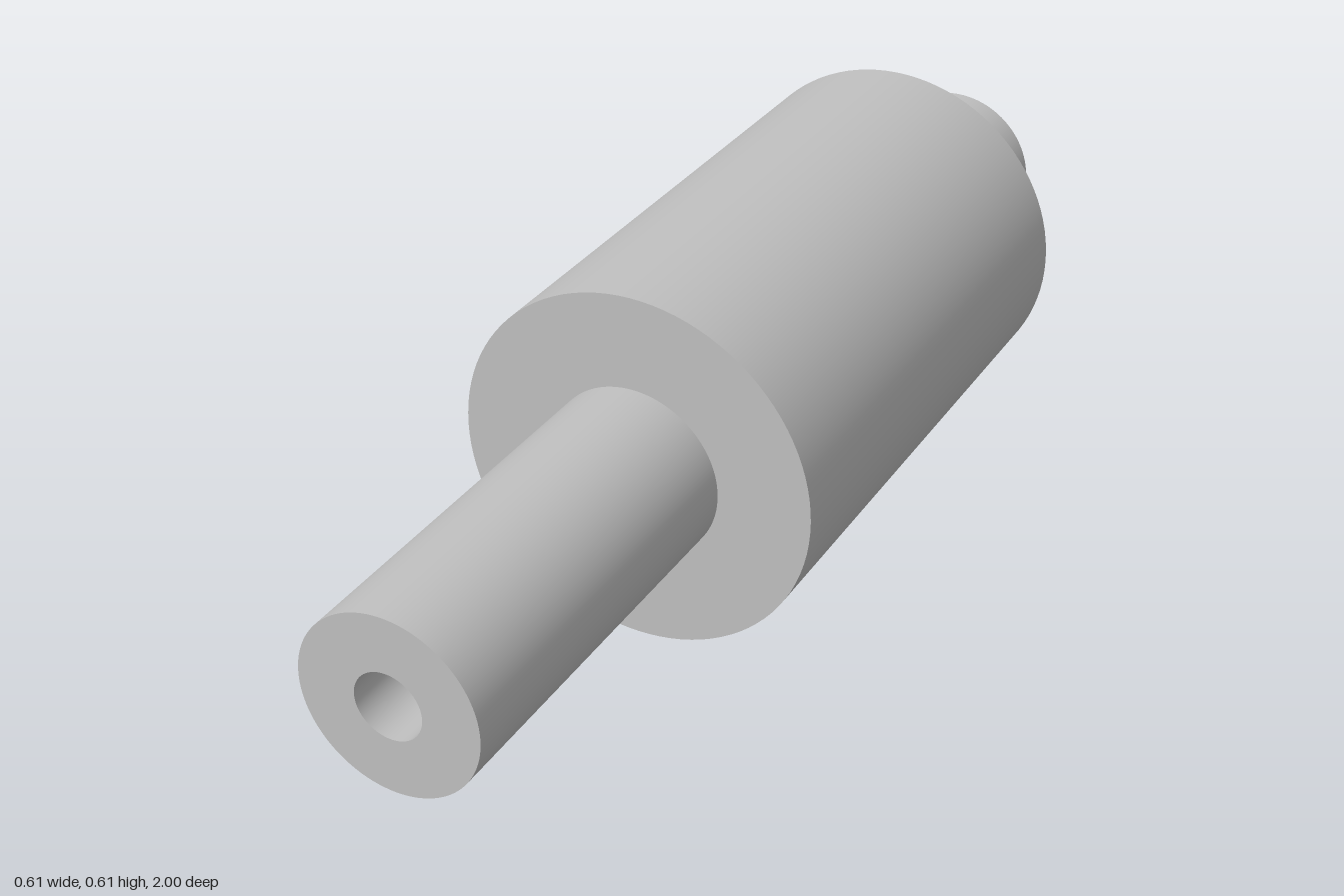
import * as THREE from 'three';
import { mergeGeometries } from 'three/addons/utils/BufferGeometryUtils.js';

const SEGMENTS = 96;
const AXIS_Y = 0.305;
const DRUM_R = 0.305, SHAFT_R = 0.147, PIN_R = 0.053, BORE_R = 0.055;

// Turned solid along z from [radius, z] points running back to front;
// every profile segment is its own surface, so corners stay sharp.
function turned(name, profile, material) {
  const bands = [];
  for (let i = 0; i < profile.length - 1; i++) {
    const pair = [profile[i], profile[i + 1]].map(([r, z]) => new THREE.Vector2(r, z));
    bands.push(new THREE.LatheGeometry(pair, SEGMENTS));
  }
  const geometry = mergeGeometries(bands);
  geometry.rotateX(Math.PI / 2);
  const mesh = new THREE.Mesh(geometry, material);
  mesh.name = name;
  mesh.position.y = AXIS_Y;
  return mesh;
}

export function createModel() {
  const steel = new THREE.MeshStandardMaterial({ color: 0xc0c0c0 });
  steel.name = 'plain steel grey';

  const group = new THREE.Group();
  group.name = 'roller';
  group.add(
    // small locating pin at the back
    turned('rearPin', [[0, -1], [PIN_R, -1], [PIN_R, -0.91]], steel),
    // short shaft, closed by its rear shoulder
    turned('rearShaft', [[PIN_R, -0.91], [SHAFT_R, -0.91], [SHAFT_R, -0.61]], steel),
    // wide body with its two annular end faces
    turned('drum', [[SHAFT_R, -0.61], [DRUM_R, -0.61], [DRUM_R, 0.345], [SHAFT_R, 0.345]], steel),
    // long shaft with a blind bore in its front face
    turned('frontShaft', [[SHAFT_R, 0.345], [SHAFT_R, 1], [BORE_R, 1], [BORE_R, 0.9], [0, 0.9]], steel),
  );
  return group;
}
